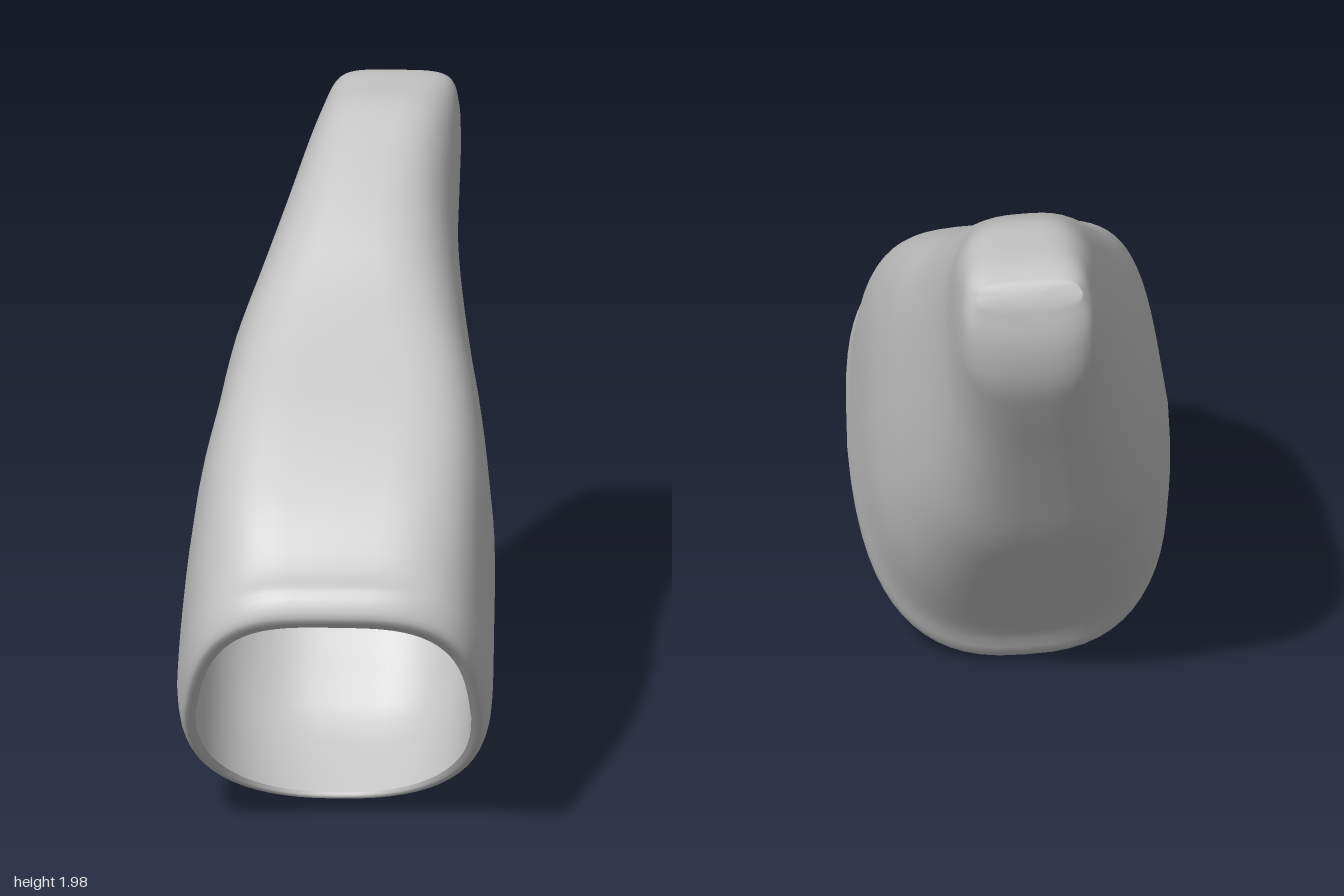
import * as THREE from 'three';

// Slanted cross-sections from mouth to tip:
// [topZ, topY, bottomZ, bottomY, xMin, xMax, topSquareness, bottomSquareness, forwardBow]
const OUTER = [
  [0.965, 0.845, 0.32, 0.045, -0.43, 0.425, 3.4, 2.3, 0.05],
  [1.0, 0.89, 0.32, 0.025, -0.465, 0.46, 3.4, 2.4, 0.045],
  [0.965, 0.965, 0.24, 0.005, -0.485, 0.48, 3.5, 2.5, 0.03],
  [0.88, 1.01, 0.10, 0.01, -0.49, 0.485, 3.8, 2.6, 0.01],
  [0.70, 1.175, 0.03, 0.13, -0.48, 0.485, 4.3, 2.7, 0],
  [0.45, 1.35, -0.13, 0.33, -0.455, 0.48, 4.5, 2.8, 0],
  [0.20, 1.49, -0.28, 0.51, -0.405, 0.45, 4.3, 2.8, 0],
  [0.00, 1.61, -0.45, 0.72, -0.36, 0.41, 3.6, 2.8, 0],
  [-0.20, 1.75, -0.61, 0.98, -0.28, 0.37, 3.1, 2.8, 0],
  [-0.40, 1.87, -0.75, 1.21, -0.205, 0.345, 3, 2.8, 0],
  [-0.60, 1.965, -0.88, 1.42, -0.14, 0.345, 3.2, 2.8, 0],
  [-0.75, 1.98, -0.965, 1.58, -0.1, 0.345, 3.6, 3, 0],
  [-0.88, 1.975, -1.0, 1.74, -0.065, 0.335, 4, 3, 0],
  [-0.96, 1.945, -0.99, 1.88, -0.025, 0.3, 4, 3, 0],
];
const SIDES = 64;
// How much each side narrows towards the top of a section
const TAPER_RIGHT = 0.13, TAPER_LEFT = 0.06;

// Shrinks a section towards its own centre to give the wall thickness
function shrink([tz, ty, bz, by, x0, x1, ...rest], wall) {
  const k = wall / Math.hypot(tz - bz, ty - by);
  return [tz - (tz - bz) * k, ty - (ty - by) * k, bz + (tz - bz) * k, by + (ty - by) * k,
    x0 + wall, x1 - wall, ...rest];
}

// Collapses a section to its centre, to close an end
function centre([tz, ty, bz, by, x0, x1, ...rest]) {
  const z = (tz + bz) / 2, y = (ty + by) / 2, x = (x0 + x1) / 2;
  return [z, y, z, y, x, x, ...rest];
}

// Smoothly adds sections between the given ones
function refine(sections, steps) {
  const out = [];
  for (let i = 0; i < sections.length - 1; i++) {
    const [a, b, c, d] = [i - 1, i, i + 1, i + 2].map(
      (k) => sections[THREE.MathUtils.clamp(k, 0, sections.length - 1)]);
    for (let s = 0; s < steps; s++) {
      const t = s / steps;
      out.push(b.map((v, k) => v + 0.5 * t * (c[k] - a[k]
        + t * (2 * a[k] - 5 * v + 4 * c[k] - d[k] + t * (3 * (v - c[k]) + d[k] - a[k])))));
    }
  }
  out.push(sections[sections.length - 1]);
  return out;
}

// Skins rounded-square rings into one smooth surface
function loft(sections, inward = false) {
  const pos = [], index = [];
  const power = (v, n) => Math.sign(v) * Math.abs(v) ** (2 / n);
  for (const [tz, ty, bz, by, x0, x1, topN, bottomN, bow] of sections) {
    for (let j = 0; j < SIDES; j++) {
      const t = (j / SIDES) * Math.PI * 2;
      const n = Math.sin(t) > 0 ? topN : bottomN;
      const v = power(Math.sin(t), n);
      const taper = Math.cos(t) < 0 ? TAPER_RIGHT : TAPER_LEFT;
      const u = power(Math.cos(t), n) * (1 - taper * Math.max(v, 0));
      pos.push((x0 + x1) / 2 + (u * (x1 - x0)) / 2,
        (ty + by) / 2 + (v * (ty - by)) / 2,
        (tz + bz) / 2 + (v * (tz - bz)) / 2 + bow * (1 - v * v));
    }
  }
  for (let i = 0; i < sections.length - 1; i++) {
    for (let j = 0; j < SIDES; j++) {
      const k = (j + 1) % SIDES;
      const a = i * SIDES + j, b = i * SIDES + k, c = a + SIDES, d = b + SIDES;
      if (inward) index.push(a, b, c, b, d, c);
      else index.push(a, c, b, b, c, d);
    }
  }
  const geo = new THREE.BufferGeometry();
  geo.setAttribute('position', new THREE.Float32BufferAttribute(pos, 3));
  geo.setIndex(index);
  geo.computeVertexNormals();
  return geo;
}

export function createModel() {
  const group = new THREE.Group();
  group.name = 'hollowFingertip';
  const grey = new THREE.MeshStandardMaterial({ color: 0xc4c4c4 });
  grey.name = 'light grey';
  const add = (name, geometry) => {
    const mesh = new THREE.Mesh(geometry, grey);
    mesh.name = name;
    group.add(mesh);
  };

  // Outer skin with a rolled lip at the mouth and a small cap at the tip
  const tip = OUTER[OUTER.length - 1];
  add('outerShell', loft([...refine(OUTER, 4), centre(tip)]));

  // Cavity that starts at the lip, follows the outer skin and ends short of the tip
  const inner = [OUTER[0], ...OUTER.slice(4, 12).map((s) => shrink(s, 0.04))];
  add('cavity', loft([...refine(inner, 4), centre(inner[inner.length - 1])], true));
  return group;
}
